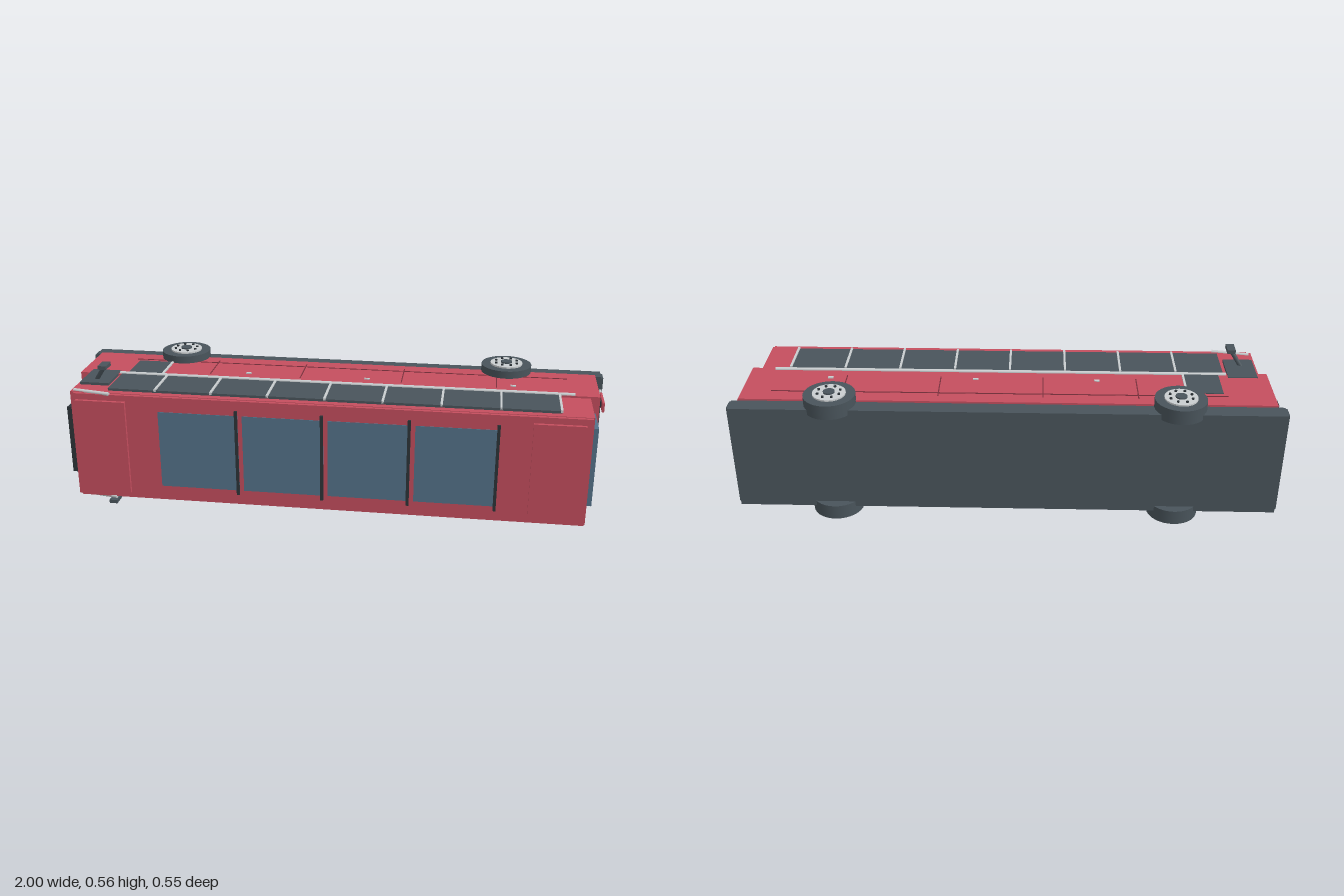
import * as THREE from 'three';

const mat = (name, color) => {
  const m = new THREE.MeshStandardMaterial({ color });
  m.name = name;
  return m;
};

export function createModel() {
  const red = mat('red paint', 0xc44e5e);
  const dark = mat('dark grey', 0x49545b);
  const black = mat('trim black', 0x2c3338);
  const glass = mat('blue glass', 0x54728a);
  const light = mat('light metal', 0xc9cdcf);
  const seam = mat('seam red', 0x7a303c);
  const root = new THREE.Group();
  root.name = 'busOnItsSide';
  const MID = 0.28; // the bus lies on its side, mirrored about this height

  const add = (name, geo, m) => {
    const mesh = new THREE.Mesh(geo, m);
    mesh.name = name;
    root.add(mesh);
    return mesh;
  };
  const box = (name, m, x0, x1, y0, y1, z0, z1) => {
    const mesh = add(name, new THREE.BoxGeometry(x1 - x0, y1 - y0, z1 - z0), m);
    mesh.position.set((x0 + x1) / 2, (y0 + y1) / 2, (z0 + z1) / 2);
    return mesh;
  };
  const rod = (name, m, a, b, r, sides = 12) => {
    const p = new THREE.Vector3(...a), q = new THREE.Vector3(...b);
    const mesh = add(name, new THREE.CylinderGeometry(r, r, p.distanceTo(q), sides), m);
    mesh.position.copy(p).add(q).multiplyScalar(0.5);
    mesh.quaternion.setFromUnitVectors(new THREE.Vector3(0, 1, 0), q.sub(p).normalize());
    return mesh;
  };

  // Body shells and chassis
  box('lowerBody', red, -0.968, 0.968, 0.068, 0.492, -0.178, 0.063);
  box('upperBody', red, -0.94, 0.935, 0.075, 0.485, 0.06, 0.252);
  box('roof', red, -0.925, 0.93, 0.077, 0.483, 0.25, 0.265);
  box('chassis', dark, -0.992, 0.992, 0.075, 0.485, -0.241, -0.178);
  for (const s of [-1, 1])
    box('bumper', dark, Math.min(s * 0.985, s), Math.max(s * 0.985, s), 0.08, 0.48, -0.226, -0.178);

  // Roof hatches, skylights and cross bars
  box('frontRoofHatch', red, -0.915, -0.73, 0.1, 0.46, 0.26, 0.277);
  box('rearRoofHatch', red, 0.73, 0.91, 0.1, 0.46, 0.26, 0.277);
  for (let i = 0; i < 4; i++) {
    const x = -0.61 + i * 0.311;
    box('skylight', glass, x, x + 0.295, 0.133, 0.427, 0.262, 0.267);
    box('skylightBar', black, x + 0.284, x + 0.295, 0.117, 0.447, 0.262, 0.273);
  }

  // Rear end: window and lamps
  box('rearWindow', glass, 0.93, 0.956, 0.132, 0.43, 0.066, 0.214);
  box('rearLampMount', black, 0.965, 0.987, 0.42, 0.44, -0.09, -0.03);
  box('rearLamp', red, 0.985, 0.993, 0.412, 0.447, -0.112, 0.005);
  box('reverseLamp', light, 0.985, 0.993, 0.414, 0.446, -0.147, -0.119);
  box('reverseLampMount', black, 0.965, 0.987, 0.424, 0.436, -0.139, -0.127);

  // Front end: windscreen, sign, wipers and lights
  box('windscreen', glass, -0.948, -0.935, 0.1, 0.46, 0.066, 0.21);
  box('routeSign', black, -0.965, -0.935, 0.155, 0.415, 0.185, 0.235);
  for (const y of [0.19, 0.37])
    rod('wiper', black, [-0.953, y, 0.064], [-0.953, y + 0.07, 0.15], 0.004, 8);
  box('frontStrip', light, -0.985, -0.965, 0.13, 0.43, -0.17, -0.158);
  for (const y of [0.13, 0.43])
    box('headlight', black, -0.985, -0.965, y - 0.03, y + 0.03, -0.12, -0.08);

  // Both sides
  for (const s of [-1, 1]) {
    const Y = (d) => MID + s * d;
    const panel = (name, m, x0, x1, z0, z1, d0, d1) =>
      box(name, m, x0, x1, Math.min(Y(d0), Y(d1)), Math.max(Y(d0), Y(d1)), z0, z1);

    panel('sideWindowBand', dark, -0.805, 0.825, 0.064, 0.226, 0.2, 0.214);
    for (let i = 0; i < 8; i++) {
      const x = -0.628 + i * 0.2075;
      panel('windowPillar', light, x - 0.004, x + 0.004, 0.066, 0.23, 0.21, 0.219);
    }
    rod('sideRail', light, [-0.815, Y(0.213), 0.054], [0.88, Y(0.213), 0.054], 0.007);
    panel('driverWindow', dark, -0.93, -0.82, 0.03, 0.176, 0.2, 0.2145);
    rod('roofEdgeTrim', light, [-0.93, Y(0.205), 0.237], [-0.79, Y(0.205), 0.263], 0.007);

    // Body seams and marker lamps
    panel('longSeam', seam, -0.8, 0.86, -0.118, -0.113, 0.21, 0.2135);
    for (const x of [-0.475, -0.13, 0.25, 0.6])
      panel('panelSeam', seam, x - 0.002, x + 0.002, -0.14, 0.01, 0.21, 0.2132);
    for (const x of [-0.33, 0.12, 0.66])
      panel('markerLamp', light, x - 0.01, x + 0.01, -0.014, -0.004, 0.21, 0.216);

    // Mirror
    rod('mirrorArm', dark, [-0.885, Y(0.205), 0.128], [-0.842, Y(0.268), 0.147], 0.008, 8);
    panel('mirror', dark, -0.856, -0.825, 0.122, 0.177, 0.266, 0.28);

    // Wheels
    for (const x of [-0.62, 0.635]) {
      const disc = (name, m, r, d0, d1, dx = 0, dz = 0, sides = 32) =>
        rod(name, m, [x + dx, Y(d0), -0.182 + dz], [x + dx, Y(d1), -0.182 + dz], r, sides);
      disc('tyre', dark, 0.094, 0.185, 0.24);
      disc('rim', light, 0.06, 0.23, 0.246);
      disc('hub', dark, 0.021, 0.24, 0.251);
      for (let i = 0; i < 8; i++) {
        const a = (i + 0.5) * Math.PI / 4;
        disc('wheelNut', black, 0.005, 0.24, 0.251, 0.042 * Math.cos(a), 0.042 * Math.sin(a), 8);
      }
    }
  }

  // Passenger door on the upper-facing side
  box('door', dark, -0.785, -0.657, 0.48, 0.4945, -0.095, 0.048);
  box('doorPost', light, -0.656, -0.648, 0.485, 0.497, -0.095, 0.05);
  return root;
}
